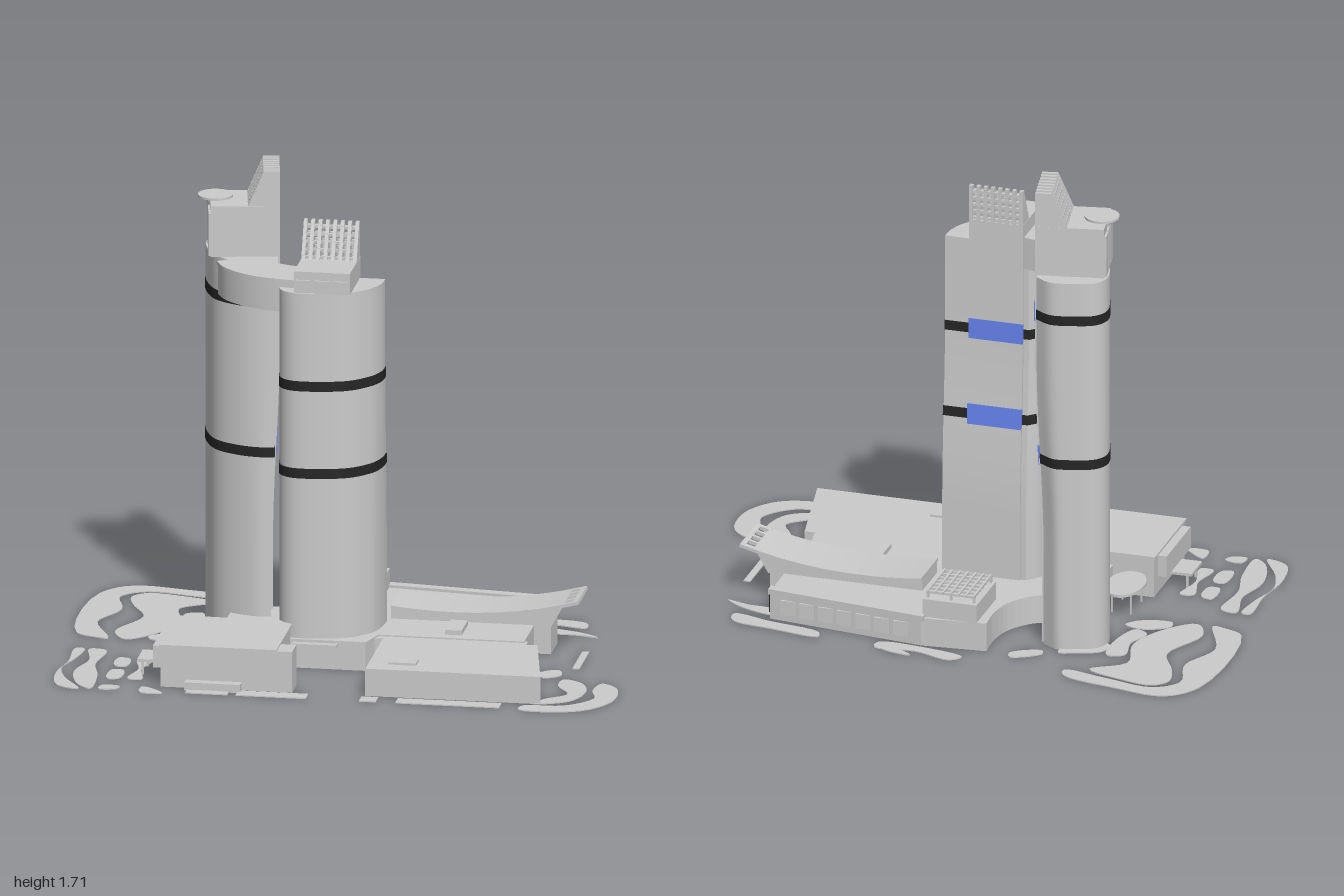
import * as THREE from 'three';
import { toCreasedNormals } from 'three/addons/utils/BufferGeometryUtils.js';

const grey = new THREE.MeshStandardMaterial({ color: 0xcccccc });
const black = new THREE.MeshStandardMaterial({ color: 0x262626 });
const blue = new THREE.MeshStandardMaterial({ color: 0x6683ee });

function add(parent, name, geo, mat = grey) {
  const m = new THREE.Mesh(geo, mat);
  m.name = name;
  parent.add(m);
  return m;
}

// Box given by its limits
function box(parent, name, x0, x1, y0, y1, z0, z1, mat) {
  const g = new THREE.BoxGeometry(x1 - x0, y1 - y0, z1 - z0);
  g.translate((x0 + x1) / 2, (y0 + y1) / 2, (z0 + z1) / 2);
  return add(parent, name, g, mat);
}

// Plan outline of [x, z] points raised from y0 to y1
function planGeo(pts, y0, y1, steps = 1) {
  const s = new THREE.Shape(pts.map(([x, z]) => new THREE.Vector2(x, -z)));
  const g = new THREE.ExtrudeGeometry(s, { depth: y1 - y0, bevelEnabled: false, steps });
  return g.rotateX(-Math.PI / 2).translate(0, y0, 0);
}

const smooth = (pts, n, closed = false) =>
  new THREE.CatmullRomCurve3(pts.map(([x, z]) => new THREE.Vector3(x, 0, z)), closed, 'centripetal')
    .getPoints(n).slice(0, closed ? n : n + 1).map(p => [p.x, p.z]);

// Profile of [z, y] points swept across x, centred on x
function ribGeo(pts, x, w) {
  const s = new THREE.Shape(pts.map(p => new THREE.Vector2(...p)));
  return new THREE.ExtrudeGeometry(s, { depth: w, bevelEnabled: false })
    .rotateY(-Math.PI / 2).translate(x + w / 2, 0, 0);
}

// Tower plan: curved outer wall toward +z, flat inner wall at z = 0
const outerWall = smooth([[0.19, 0], [0.188, 0.05], [0.165, 0.115], [0.1, 0.188], [0.03, 0.216],
  [-0.1, 0.225], [-0.15, 0.19], [-0.165, 0.12], [-0.163, 0.05], [-0.12, 0]], 40);

function tower(name, o) {
  const t = new THREE.Group();
  t.name = name;
  // Inner wall swells or recedes toward the foot
  const bend = g => {
    const p = g.attributes.position;
    for (let i = 0; i < p.count; i++) {
      const near = 1 - THREE.MathUtils.smoothstep(p.getZ(i), 0.02, 0.12);
      const low = 1 - THREE.MathUtils.smoothstep(p.getY(i), 0.35, 1.1);
      p.setZ(i, p.getZ(i) + o.bend * low * near);
    }
    return toCreasedNormals(g, 0.5);
  };
  const plan = (grow) => outerWall.map(([x, z]) =>
    [x * (1 + grow), (z - 0.1) * (1 + grow * 1.5) * o.depth + 0.1 * o.depth]);
  const panel = (g) => [[-0.1, 0.05], [-0.1, -0.008 - g], [0.1, -0.008 - g], [0.1, 0.05]];
  add(t, 'towerBody', bend(planGeo(plan(0), 0, o.height, 24)));
  add(t, 'innerPanel', bend(planGeo(panel(0), 0, o.roof, 24)));
  for (const y of o.bands) {
    add(t, 'darkBand', bend(planGeo(plan(0.012), y - 0.018, y + 0.018, 2)), black);
    add(t, 'blueBand', bend(planGeo(panel(0.003), y - 0.035, y + 0.04, 2)), blue);
  }
  // Plant rooms on the roof
  box(t, 'penthouse', -0.1, 0.1, o.height, o.roof, -0.006, 0.215 * o.depth);
  for (const x of [-0.066, 0, 0.066])
    box(t, 'penthouseBay', x - 0.026, x + 0.026, o.height, o.roof - 0.03, 0.2 * o.depth, 0.222 * o.depth);
  // Slanted open crown: ribs with cross bars
  const { roof, top, base, tip } = o;
  for (let i = 0; i < 8; i++) {
    add(t, 'crownRib', ribGeo([[-0.008, roof], [base, roof], [tip, top], [-0.008, top]],
      -0.0925 + i * 0.0264, 0.013));
  }
  for (let i = 0; i < 5; i++) {
    const y = roof + (top - roof) * (i + 0.3) / 5.2;
    const z = THREE.MathUtils.lerp(base, tip, (y - roof) / (top - roof));
    box(t, 'crownBar', -0.098, 0.098, y - 0.005, y + 0.005, z - 0.012, z - 0.002);
    box(t, 'crownBar', -0.098, 0.098, y - 0.005, y + 0.005, -0.007, 0.004);
  }
  return t;
}

// Thin planting bed with a smooth outline, in hundredths
function bed(parent, ...n) {
  const pts = [];
  for (let i = 0; i < n.length; i += 2) pts.push([n[i] / 100, n[i + 1] / 100]);
  add(parent, 'plantingBed', planGeo(smooth(pts, pts.length * 5, true), 0, 0.004));
}

export function createModel() {
  const model = new THREE.Group();
  model.name = 'twinTowerComplex';

  // Towers
  const front = tower('frontTower', { height: 1.37, roof: 1.447, top: 1.577, base: 0.065, tip: 0.008,
    depth: 1, bend: -0.035, bands: [0.71, 1.03] });
  front.position.set(-0.08, 0, 0);
  const rear = tower('rearTower', { height: 1.4, roof: 1.585, top: 1.712, base: 0.105, tip: 0.05,
    depth: 1.1, bend: 0.025, bands: [0.708, 1.258] });
  rear.position.set(-0.31, 0, -0.21);
  rear.rotation.y = -1.39;
  model.add(front, rear);

  // Round landing deck on the rear tower
  add(model, 'roofDeck', new THREE.CylinderGeometry(0.062, 0.062, 0.008, 32).translate(-0.525, 1.597, -0.175));
  add(model, 'roofDeckStem', new THREE.CylinderGeometry(0.035, 0.03, 0.03, 24).translate(-0.525, 1.58, -0.175));

  // Curved bridge between the towers
  const bridgeOuter = smooth([[-0.49, -0.02], [-0.45, 0.05], [-0.37, 0.115], [-0.28, 0.15], [-0.18, 0.165]], 16);
  const bridgeInner = smooth([[-0.18, 0.0], [-0.25, -0.02], [-0.31, -0.055], [-0.36, -0.12]], 16);
  const bridge = [...bridgeOuter, ...bridgeInner];
  add(model, 'bridge', toCreasedNormals(planGeo(bridge, 1.28, 1.39), 0.5));
  add(model, 'bridgeRoof', planGeo(bridge.map(([x, z]) => [x * 1.01, z * 1.03]), 1.39, 1.4));

  // Podium blocks
  const hollow = smooth([[-0.37, -0.12], [-0.27, -0.16], [-0.2, -0.25], [-0.18, -0.36], [-0.185, -0.45]], 14);
  add(model, 'podium', planGeo([...hollow, [0.05, -0.47], [0.63, -0.4], [0.63, 0.14], [0.11, 0.14],
    [0.08, 0.24], [-0.2, 0.24], [-0.45, 0.2], [-0.45, -0.05]], 0, 0.105));
  add(model, 'podiumEaves', planGeo([[0.04, -0.478], [0.635, -0.407], [0.635, -0.37], [0.04, -0.44]], 0.095, 0.115));
  add(model, 'leftHall', planGeo([[-0.6, 0.19], [-0.19, 0.19], [-0.19, 0.46], [-0.13, 0.46],
    [-0.13, 0.55], [-0.6, 0.55]], 0, 0.15));
  box(model, 'leftHallRoof', -0.605, -0.185, 0.147, 0.155, 0.186, 0.555);
  box(model, 'leftHallBay', -0.632, -0.59, 0.06, 0.14, 0.24, 0.52);
  box(model, 'leftHallStep', -0.51, -0.31, 0, 0.03, 0.54, 0.585);
  const rightHall = [[0.13, 0.16], [0.68, 0.16], [0.755, 0.545], [0.13, 0.545]];
  add(model, 'rightHall', planGeo(rightHall, 0, 0.1));
  add(model, 'rightHallLink', planGeo([[0.07, 0.12], [0.64, 0.12], [0.64, 0.17], [0.07, 0.17]], 0, 0.1));
  box(model, 'rightHallSkylight', 0.2, 0.3, 0.1, 0.108, 0.42, 0.48);
  box(model, 'roofLight', 0.34, 0.4, 0.1, 0.122, -0.03, 0.1);
  box(model, 'entranceCanopy', -0.18, -0.02, 0.085, 0.095, 0.2, 0.265);

  // Rear pavilion with a lattice pergola
  box(model, 'rearPavilion', -0.15, 0.05, 0.1, 0.172, -0.455, -0.23);
  for (let i = 0; i < 7; i++) {
    const x = -0.135 + i * 0.0285, z = -0.435 + i * 0.0325;
    box(model, 'pergolaBar', x - 0.004, x + 0.004, 0.194, 0.202, -0.445, -0.235);
    box(model, 'pergolaBar', -0.14, 0.042, 0.19, 0.198, z - 0.004, z + 0.004);
    if (i % 3 === 0) for (const pz of [-0.435, -0.24]) box(model, 'pergolaPost', x - 0.004, x + 0.004, 0.17, 0.196, pz - 0.004, pz + 0.004);
  }
  // Window bays along the rear wall
  for (let i = 0; i < 7; i++) {
    const x = 0.1 + i * 0.072, z = -0.464 + (x - 0.05) * 0.12;
    box(model, 'rearWindowBay', x, x + 0.055, 0.025, 0.08, z - 0.008, z + 0.02);
  }
  box(model, 'sideWindow', 0.62, 0.636, 0.02, 0.1, -0.39, -0.33, black);

  // Upswept roof and the hall below it
  const sweep = (name, pts, y0, x1, y1, z0, z1) => {
    const s = new THREE.Shape();
    s.moveTo(...pts[0]);
    pts.slice(1).forEach(p => s.lineTo(...p));
    s.lineTo(x1, y1);
    s.quadraticCurveTo(0.45, 0.118, 0.12, y0);
    const g = new THREE.ExtrudeGeometry(s, { depth: z1 - z0, bevelEnabled: false, curveSegments: 16 });
    add(model, name, toCreasedNormals(g.translate(0, 0, z0), 0.4));
  };
  sweep('sweptHall', [[0.12, 0.1], [0.69, 0.1]], 0.148, 0.735, 0.18, -0.235, -0.065);
  sweep('sweptRoof', [[0.12, 0.146], [0.3, 0.131], [0.45, 0.133], [0.6, 0.15], [0.735, 0.178]],
    0.157, 0.735, 0.19, -0.25, -0.05);
  const tip = new THREE.Group();
  tip.name = 'sweptRoofTip';
  tip.position.set(0.735, 0.184, 0);
  tip.rotation.z = 0.25;
  box(tip, 'tipEdge', 0.038, 0.057, -0.006, 0.006, -0.25, -0.05);
  box(tip, 'tipEdge', -0.004, 0.006, -0.006, 0.006, -0.25, -0.05);
  for (let i = 0; i < 5; i++) {
    const z = -0.236 + i * 0.0435;
    box(tip, 'tipBar', 0, 0.045, -0.006, 0.006, z - (i ? 0.006 : 0.014), z + (i < 4 ? 0.006 : 0.012));
  }
  model.add(tip);
  box(model, 'sweptRoofPier', 0.6, 0.69, 0, 0.14, -0.21, -0.07);

  // Side canopies on posts
  const oval = new THREE.CylinderGeometry(0.07, 0.07, 0.01, 32).scale(1, 1, 1.6);
  add(model, 'ovalCanopy', oval.translate(-0.53, 0.085, 0.08));
  for (const [x, z] of [[-0.57, 0.02], [-0.5, 0.02], [-0.57, 0.14], [-0.5, 0.14]])
    box(model, 'canopyPost', x - 0.003, x + 0.003, 0, 0.085, z - 0.003, z + 0.003);
  box(model, 'sideCanopy', -0.705, -0.595, 0.048, 0.058, 0.3, 0.42);
  for (const z of [0.31, 0.41]) box(model, 'canopyPost', -0.69, -0.682, 0, 0.05, z - 0.004, z + 0.004);

  // Planting beds
  const beds = new THREE.Group();
  beds.name = 'plantingBeds';
  bed(beds, -100, -5, -100, -54, -90, -65, -70, -63, -51, -58, -50, -53, -66, -56, -84, -59, -92, -52, -89, -36, -95, -20, -88, 0, -93, -1);
  bed(beds, -83, -57, -70, -55, -58, -50, -69, -41, -66, -24, -72, -9, -82, 0, -87, -9, -80, -28, -86, -42, -88, -52);
  bed(beds, -66, -34, -60, -36, -59, -22, -63, -11, -68, -14, -65, -23);
  bed(beds, -57, -34, -50, -37, -43, -39, -45, -30, -54, -25, -59, -28);
  bed(beds, -74, -5, -65, -10, -58, -8, -62, -3, -73, -1);
  bed(beds, -97, 14, -94, 14, -95, 26, -98, 38, -95, 50, -88, 63, -96, 60, -99, 46, -97, 30);
  bed(beds, -92, 14, -86, 15, -87, 32, -84, 46, -84, 62, -89, 58, -93, 42, -90, 28);
  bed(beds, -80, 23, -76, 24, -76, 33, -80, 33);
  bed(beds, -80, 38, -76, 38, -76, 48, -80, 49);
  bed(beds, -73, 25, -68, 24, -70, 36, -68, 48, -73, 48, -71, 36);
  bed(beds, -80, 57, -74, 58, -75, 61, -81, 62);
  bed(beds, -66, 57, -60, 61, -58, 64, -66, 64);
  bed(beds, 93, 27, 99, 32, 100, 48, 92, 60, 80, 64, 69, 63, 70, 58, 84, 56, 93, 46, 91, 36);
  bed(beds, 79, 24, 86, 28, 89, 38, 85, 50, 73, 55, 76, 49, 83, 42, 78, 32);
  bed(beds, 69, 17, 75, 13, 77, 19, 71, 23);
  bed(beds, -12, -53, -8, -57, 6, -53, 20, -54, 20, -49, 4, -49);
  bed(beds, 6, -57, 14, -56, 20, -53, 10, -54);
  bed(beds, 42, -51, 60, -49, 75, -46, 76, -40, 62, -43, 43, -47);
  bed(beds, 63, -37, 75, -34, 82, -29, 74, -31, 65, -32);
  bed(beds, -38, -42, -28, -48, -27, -44, -37, -39);
  for (const [x0, x1, z0, z1] of [[-0.5, -0.35, 0.565, 0.62], [-0.32, -0.07, 0.565, 0.62], [0.12, 0.18, 0.565, 0.62],
    [0.25, 0.62, 0.565, 0.62], [0.795, 0.82, -0.11, 0.1]])
    box(beds, 'straightBed', x0, x1, 0, 0.004, z0, z1);
  model.add(beds);

  return model;
}
